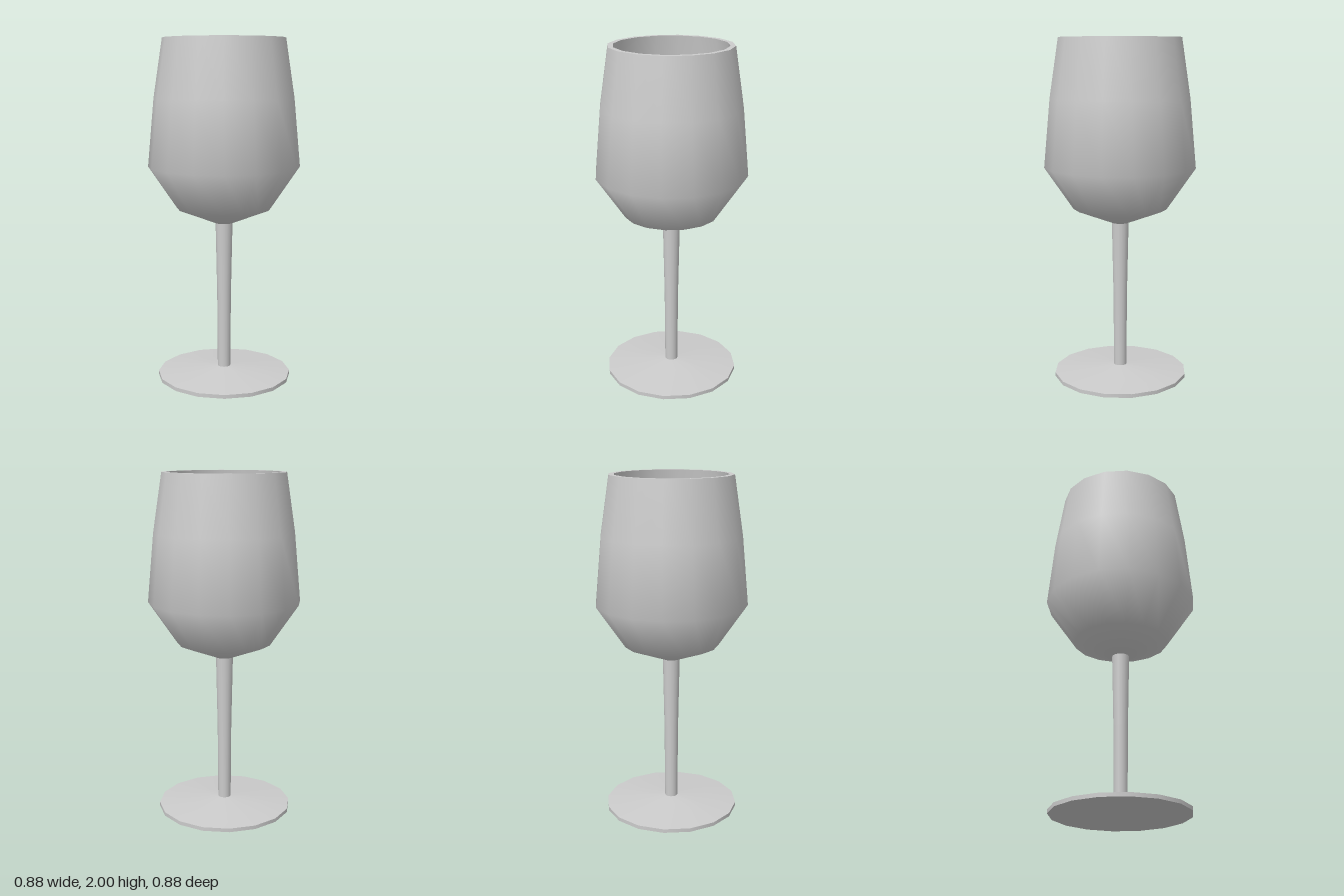
import * as THREE from 'three';

const SIDES = 16;
const material = new THREE.MeshStandardMaterial({ color: 0xcccccc });

// Turns each band of [radius, height] points separately, so edges between bands stay sharp.
function turned(name, bands) {
  const group = new THREE.Group();
  group.name = name;
  for (const [bandName, points] of Object.entries(bands)) {
    const profile = points.map(([r, y]) => new THREE.Vector2(r, y));
    const mesh = new THREE.Mesh(new THREE.LatheGeometry(profile, SIDES), material);
    mesh.name = bandName;
    group.add(mesh);
  }
  return group;
}

export function createModel() {
  const glass = new THREE.Group();
  glass.name = 'wineGlass';

  // Thin disc with a gently sloping top
  glass.add(turned('foot', {
    footUnderside: [[0, 0], [0.395, 0]],
    footEdge: [[0.395, 0], [0.395, 0.022]],
    footTop: [[0.395, 0.022], [0.038, 0.056]],
  }));

  // Slender stem, widening slightly towards the bowl
  glass.add(turned('stem', {
    stemSurface: [[0.038, 0.056], [0.041, 0.5], [0.05, 0.932]],
  }));

  // Hollow bowl, widest low down and narrowing to the rim
  glass.add(turned('bowl', {
    bowlOutside: [[0.05, 0.932], [0.275, 1.02], [0.442, 1.265], [0.405, 1.66], [0.353, 2]],
    rim: [[0.353, 2], [0.323, 2]],
    bowlInside: [[0.323, 2], [0.375, 1.655], [0.41, 1.275], [0.257, 1.047], [0, 0.96]],
  }));

  return glass;
}
